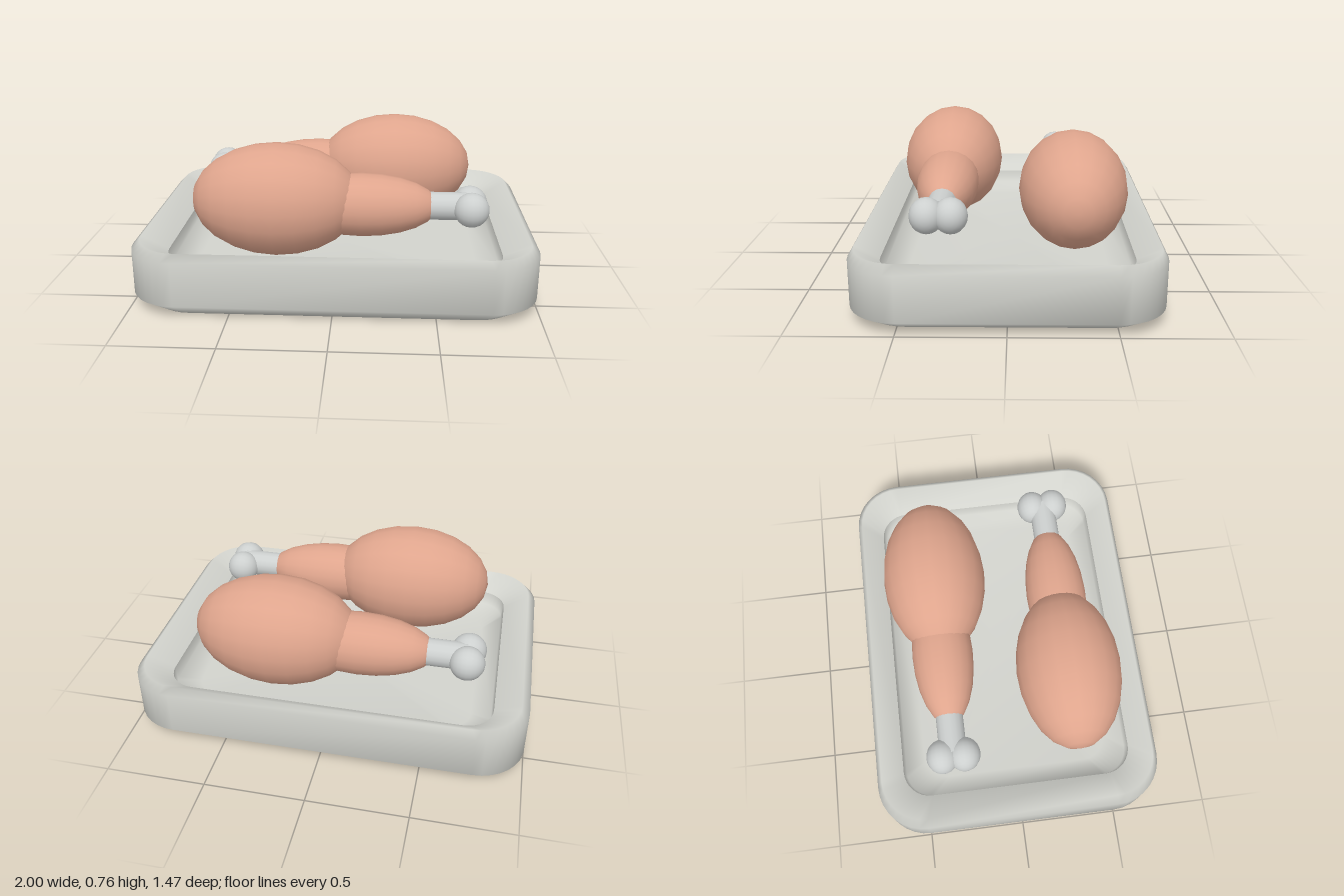
import * as THREE from 'three';

const mat = (name, color, side = THREE.FrontSide) => {
  const m = new THREE.MeshStandardMaterial({ color, side });
  m.name = name;
  return m;
};

// Lofts rounded-rectangle rings; each ring is [halfX, halfZ, y, cornerRadius]
function roundedLoft(rings, cornerSteps = 8) {
  const positions = [], index = [];
  const n = 4 * (cornerSteps + 1);
  for (const [hx, hz, y, r] of rings) {
    for (let c = 0; c < 4; c++) {
      const sx = c === 0 || c === 3 ? 1 : -1;
      const sz = c < 2 ? 1 : -1;
      for (let i = 0; i <= cornerSteps; i++) {
        const a = (c + i / cornerSteps) * Math.PI / 2;
        positions.push(sx * (hx - r) + r * Math.cos(a), y, sz * (hz - r) + r * Math.sin(a));
      }
    }
  }
  for (let k = 0; k < rings.length - 1; k++) {
    for (let i = 0; i < n; i++) {
      const j = (i + 1) % n;
      const a = k * n + i, b = k * n + j;
      index.push(a, a + n, b, b, a + n, b + n);
    }
  }
  const g = new THREE.BufferGeometry();
  g.setAttribute('position', new THREE.Float32BufferAttribute(positions, 3));
  g.setIndex(index);
  g.computeVertexNormals();
  return g;
}

export function createModel() {
  const model = new THREE.Group();
  model.name = 'drumstickTray';
  const trayMat = mat('tray grey', 0xd2d3cd, THREE.DoubleSide);
  const skinMat = mat('skin pink', 0xdfa58d);
  const boneMat = mat('bone grey', 0xcdd0cf);

  const add = (parent, name, geometry, material) => {
    const mesh = new THREE.Mesh(geometry, material);
    mesh.name = name;
    parent.add(mesh);
    return mesh;
  };

  // Tray: outer shell with sloping rim, then the steep-walled basin
  const tray = new THREE.Group();
  tray.name = 'tray';
  model.add(tray);
  add(tray, 'trayShell', roundedLoft([
    [0, 0, 0, 0],
    [0.9, 0.665, 0, 0.2],
    [1, 0.735, 0.065, 0.24],
    [1, 0.735, 0.29, 0.24],
    [0.96, 0.71, 0.33, 0.22],
    [0.83, 0.6, 0.25, 0.14],
  ]), trayMat);
  add(tray, 'trayBasin', roundedLoft([
    [0.83, 0.6, 0.25, 0.14],
    [0.82, 0.59, 0.18, 0.14],
    [0.72, 0.49, 0.13, 0.12],
    [0, 0, 0.13, 0],
  ]), trayMat);

  // Ellipsoid with its poles along x
  const ellipsoid = (parent, name, material, center, radii) => {
    const g = new THREE.SphereGeometry(1, 20, 12);
    g.rotateZ(-Math.PI / 2);
    g.scale(...radii);
    add(parent, name, g, material).position.set(...center);
  };

  // Two drumsticks lying head to tail
  for (const [name, turn] of [['frontDrumstick', 0], ['backDrumstick', Math.PI]]) {
    const leg = new THREE.Group();
    leg.name = name;
    leg.rotation.y = turn;
    model.add(leg);
    ellipsoid(leg, 'thigh', skinMat, [-0.3, 0.478, 0.323], [0.425, 0.287, 0.273]);
    ellipsoid(leg, 'shank', skinMat, [0.13, 0.455, 0.323], [0.385, 0.16, 0.16]);
    const bone = new THREE.CylinderGeometry(0.07, 0.07, 0.36, 16);
    bone.rotateZ(Math.PI / 2);
    add(leg, 'bone', bone, boneMat).position.set(0.49, 0.455, 0.323);
    for (const s of [-1, 1]) {
      ellipsoid(leg, 'boneKnob', boneMat, [0.675, 0.455, 0.323 + s * 0.056], [0.087, 0.087, 0.082]);
    }
  }
  return model;
}
